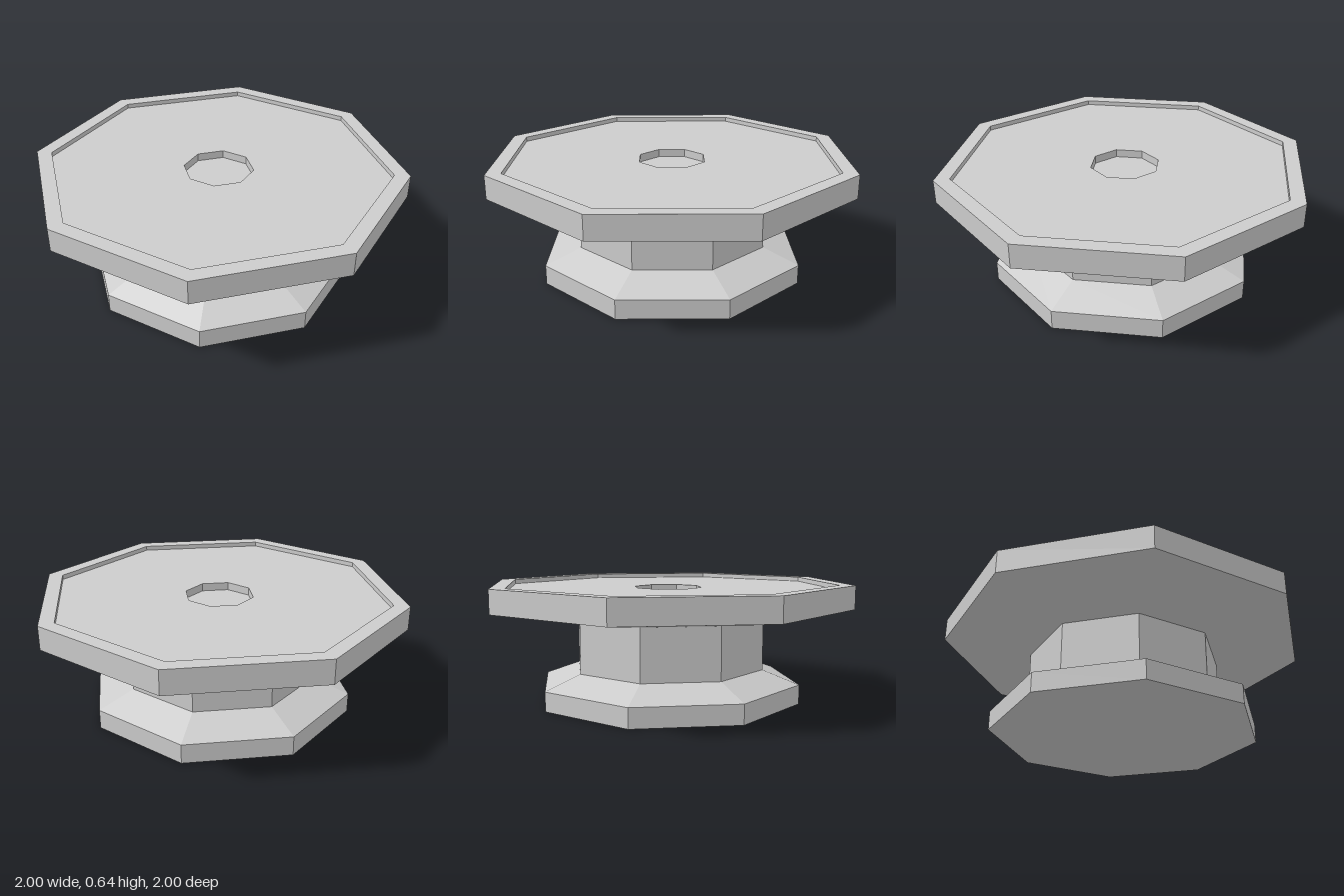
import * as THREE from 'three';

const SIDES = 8;

export function createModel() {
  const group = new THREE.Group();
  const stone = new THREE.MeshStandardMaterial({ color: 0xcccccc, flatShading: true });
  stone.name = 'light grey';

  // Octagonal ring of faces turned from a [radius, height] profile, listed bottom to top
  function turned(name, profile) {
    const points = profile.map(([r, y]) => new THREE.Vector2(r, y));
    const mesh = new THREE.Mesh(new THREE.LatheGeometry(points, SIDES), stone);
    mesh.name = name;
    group.add(mesh);
  }

  // Foot with closed underside and sloped shoulder
  turned('foot', [[0, 0], [0.725, 0], [0.725, 0.104], [0.527, 0.177]]);

  // Straight column
  turned('column', [[0.527, 0.177], [0.527, 0.455]]);

  // Wide plate with flared underside and raised rim
  turned('plate', [[0.527, 0.455], [1, 0.515], [1, 0.64], [0.917, 0.64], [0.917, 0.615], [0.187, 0.615]]);

  // Shallow socket sunk in the middle of the plate
  turned('socket', [[0.187, 0.615], [0.187, 0.573], [0, 0.573]]);

  return group;
}
